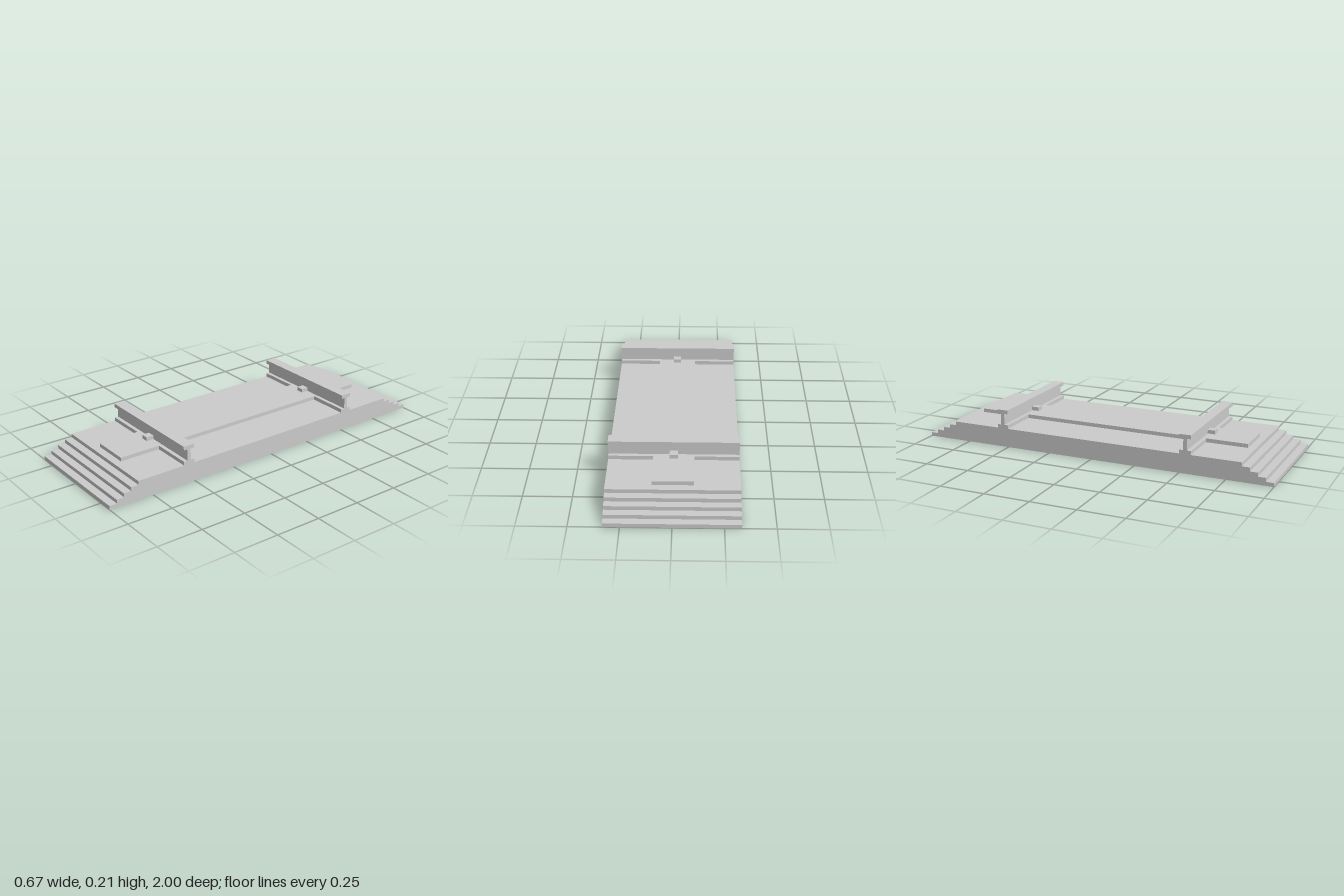
import * as THREE from 'three';

const material = new THREE.MeshStandardMaterial({ color: 0xcccccc, flatShading: true });
const U = 1 / 48; // height of one step
const WIDTH = 32 * U;

function addMesh(parent, name, geometry) {
  const mesh = new THREE.Mesh(geometry, material);
  mesh.name = name;
  parent.add(mesh);
  return mesh;
}

// Mirrors a half profile of [z, y] points, listed bottom to top, and extrudes it along x
function extrudeAcross(half) {
  const outline = [...half, ...half.map(([z, y]) => [-z, y]).reverse()];
  const shape = new THREE.Shape(outline.map(([z, y]) => new THREE.Vector2(z, y)));
  const geometry = new THREE.ExtrudeGeometry(shape, { depth: WIDTH, bevelEnabled: false });
  geometry.rotateY(-Math.PI / 2);
  geometry.translate(WIDTH / 2, 0, 0);
  return geometry;
}

export function createModel() {
  const model = new THREE.Group();
  model.name = 'railTrack';

  // Ballast bed with five steps at each end
  const steps = [];
  for (let i = 0; i < 5; i++) {
    const z = 1 - i * 2 * U;
    steps.push([z, i * U], [z, (i + 1) * U]);
  }
  addMesh(model, 'ballastBed', extrudeAcross(steps));

  // Sleeper lying on the bed
  const sleeper = addMesh(model, 'sleeper', new THREE.BoxGeometry(10 * U, U, 76 * U));
  sleeper.position.y = 5.5 * U;

  // Two I-shaped rails, each held by a clip block through the web
  const railProfile = [
    [1.5 * U, 5 * U], [1.5 * U, 6 * U],
    [0.5 * U, 6 * U], [0.5 * U, 9 * U],
    [1.5 * U, 9 * U], [1.5 * U, 10 * U],
  ];
  for (const [side, sign] of [['front', 1], ['back', -1]]) {
    const z = sign * 25.5 * U;
    addMesh(model, side + 'Rail', extrudeAcross(railProfile)).position.z = z;
    const clip = addMesh(model, side + 'RailClip', new THREE.BoxGeometry(2 * U, U, 5 * U));
    clip.position.set(0, 6.5 * U, z);
  }
  return model;
}
